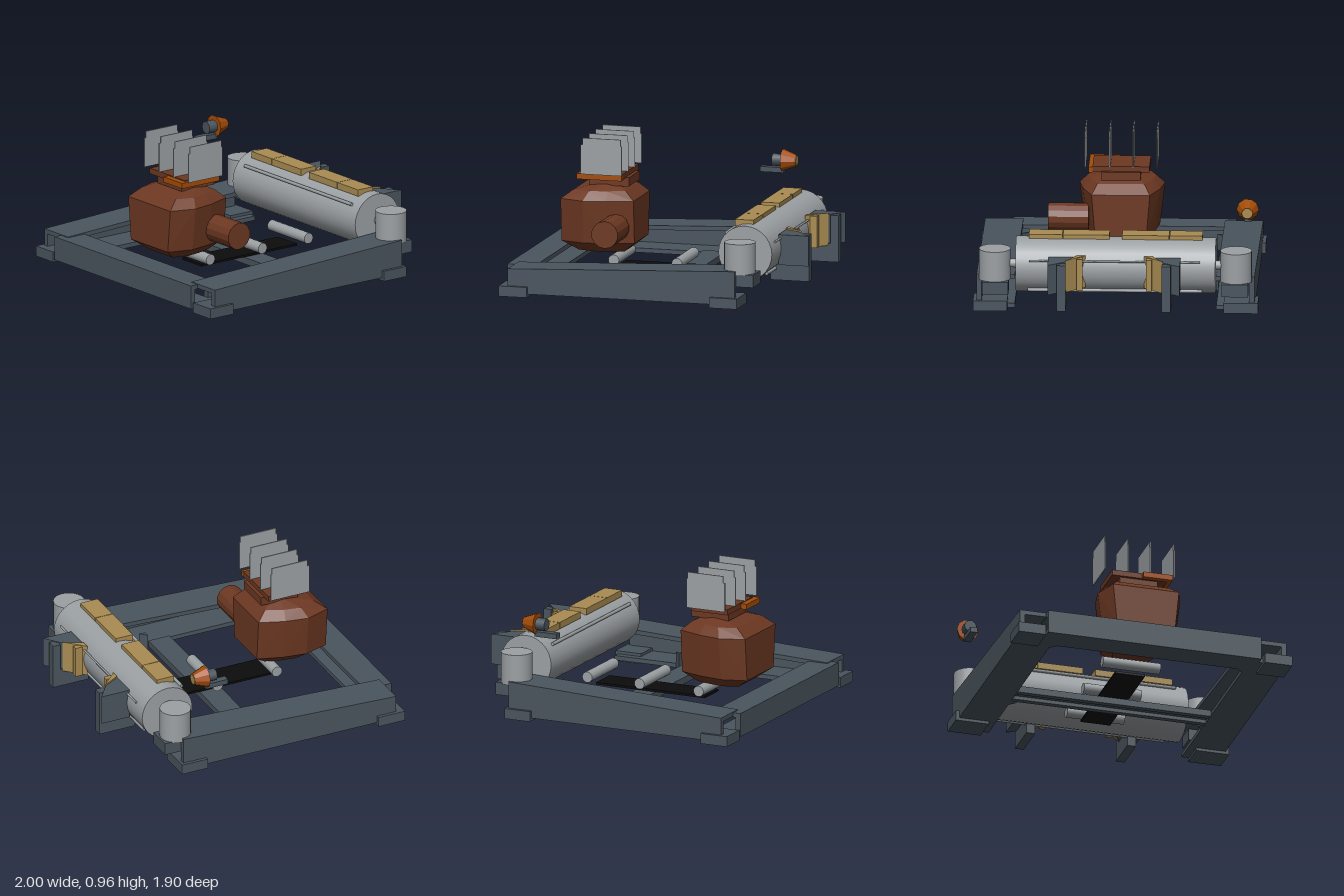
import * as THREE from 'three';
import { ConvexGeometry } from 'three/addons/geometries/ConvexGeometry.js';

const mat = (name, color, flatShading = false) => {
  const m = new THREE.MeshStandardMaterial({ color, flatShading });
  m.name = name;
  return m;
};

export function createModel() {
  const root = new THREE.Group();
  root.name = 'machine';
  const steel = mat('dark steel', 0x4a555e);
  const grey = mat('light grey', 0x9ca1a4);
  const brown = mat('rust brown', 0x6d3822, true);
  const orange = mat('orange', 0xa34c08, true);
  const tan = mat('tan', 0xa98c52);
  const black = mat('black', 0x0c0c0c);

  const add = (name, geo, material) => {
    const mesh = new THREE.Mesh(geo, material);
    mesh.name = name;
    root.add(mesh);
    return mesh;
  };
  // box from its limits on each axis
  const box = (name, m, x0, x1, y0, y1, z0, z1) => {
    const g = new THREE.BoxGeometry(x1 - x0, y1 - y0, Math.abs(z1 - z0));
    g.translate((x0 + x1) / 2, (y0 + y1) / 2, (z0 + z1) / 2);
    return add(name, g, m);
  };
  // cylinder lying along x or z, or standing along y
  const cyl = (name, m, axis, x, y, z, r0, r1, len, sides = 24) => {
    const g = new THREE.CylinderGeometry(r1, r0, len, sides);
    if (axis === 'z') g.rotateX(Math.PI / 2);
    if (axis === 'x') g.rotateZ(-Math.PI / 2);
    return add(name, g.translate(x, y, z), m);
  };
  // side profile in x/y pushed along z
  const sideProfile = (name, m, pts, z0, z1) => {
    const shape = new THREE.Shape(pts.map(p => new THREE.Vector2(...p)));
    const g = new THREE.ExtrudeGeometry(shape, { depth: Math.abs(z1 - z0), bevelEnabled: false });
    return add(name, g.translate(0, 0, Math.min(z0, z1)), m);
  };
  // plan outline in x/z pushed up along y
  const planProfile = (name, m, pts, y0, y1) => {
    const shape = new THREE.Shape(pts.map(p => new THREE.Vector2(p[0], -p[1])));
    const g = new THREE.ExtrudeGeometry(shape, { depth: y1 - y0, bevelEnabled: false });
    return add(name, g.rotateX(-Math.PI / 2).translate(0, y0, 0), m);
  };

  // parts mirrored across the two long sides
  for (const s of [1, -1]) {
    // tapered channel rail, open inward
    sideProfile('railWeb', steel, [[-0.945, 0.02], [0.63, 0.02], [0.63, 0.25], [-0.945, 0.185]], s * 0.89, s * 0.925);
    sideProfile('railTopFlange', steel, [[-0.945, 0.155], [0.63, 0.22], [0.63, 0.25], [-0.945, 0.185]], s * 0.67, s * 0.89);
    box('railBottomFlange', steel, -0.945, 0.63, 0.02, 0.05, s * 0.67, s * 0.89);
    // feet
    box('rearFoot', steel, -1, -0.805, 0, 0.07, s * 0.76, s * 0.948);
    box('frontFoot', steel, 0.46, 0.65, 0, 0.07, s * 0.72, s * 0.948);
    // corner gussets
    for (const x of [-0.805, 0.13])
      planProfile('gusset', steel, [[x, s * 0.67], [x + 0.045, s * 0.67], [x, s * 0.625]], 0.02, 0.13);

    // drum end mounts
    cyl('axleStub', grey, 'z', 0.63, 0.33, s * 0.69, 0.03, 0.03, 0.08, 16);
    cyl('endPost', grey, 'y', 0.63, 0.325, s * 0.803, 0.105, 0.105, 0.21);
    box('postBracket', steel, 0.6, 0.745, 0.14, 0.225, s * 0.71, s * 0.885);

    // front guide wedges with brackets
    planProfile('guideWedge', steel, [[0.79, s * 0.44], [1, s * 0.44], [0.91, s * 0.32], [0.79, s * 0.25]], 0.215, 0.42);
    planProfile('guidePad', tan, [[0.79, s * 0.25], [0.915, s * 0.322], [0.79, s * 0.195]], 0.21, 0.43);
    box('padStrip', tan, 0.82, 0.87, 0.21, 0.425, s * 0.212, s * 0.25);
    box('bracketArm', steel, 0.72, 0.985, 0.1, 0.225, s * 0.32, s * 0.38);
    box('bracketUpright', steel, 0.93, 0.985, 0.1, 0.415, s * 0.32, s * 0.38);
    // drum rods
    cyl('sideRod', grey, 'z', 0.805, 0.395, 0, 0.007, 0.007, 1.14, 8).visible = s > 0;
  }

  // rear channel beam, open inward
  box('rearBeamWeb', steel, -1, -0.965, 0.02, 0.18, -0.745, 0.735);
  box('rearBeamTop', steel, -0.965, -0.805, 0.15, 0.18, -0.745, 0.735);
  box('rearBeamBottom', steel, -0.965, -0.805, 0.02, 0.05, -0.745, 0.735);

  // low middle beam, open below
  box('middleBeam', steel, -0.05, 0.105, 0.04, 0.06, -0.67, 0.67);
  box('middleBeamLip', steel, -0.05, -0.01, 0.015, 0.04, -0.67, 0.67);
  box('middleBeamLip', steel, 0.065, 0.105, 0.015, 0.04, -0.67, 0.67);

  // belt and rollers
  box('belt', black, -0.42, 0.385, 0.065, 0.08, -0.105, 0.1);
  for (const x of [-0.42, 0.018, 0.405]) cyl('roller', grey, 'z', x, 0.135, 0, 0.037, 0.037, 0.4, 16);

  // drum with rods and deck
  cyl('drum', grey, 'z', 0.625, 0.325, -0.005, 0.185, 0.185, 1.33, 28);
  for (const [x, y] of [[0.475, 0.445], [0.75, 0.18]])
    cyl('drumRod', grey, 'z', x, y, 0, 0.012, 0.012, 1.16, 8);
  for (const [a, b] of [[-0.58, -0.362], [-0.358, -0.045], [0.04, 0.348], [0.352, 0.575]])
    box('deckPlank', tan, 0.53, 0.657, 0.49, 0.535, a, b);

  // chamfered motor housing, stacked octagonal rings: y, x0, x1, half depth
  const rings = [[0.18, -0.68, -0.37, 0.16], [0.25, -0.78, -0.285, 0.25], [0.54, -0.78, -0.285, 0.285],
    [0.6, -0.7, -0.35, 0.23], [0.645, -0.5, -0.44, 0.1]];
  const points = [];
  for (const [y, x0, x1, d] of rings) {
    const w = x1 - x0;
    for (const s of [1, -1])
      for (const [u, v] of [[0, 0.8], [0.34, 1], [0.66, 0.9], [1, 0.68]])
        points.push(new THREE.Vector3(x0 + w * u, y, s * d * v));
  }
  add('motorHousing', new ConvexGeometry(points), brown);
  cyl('motorPipe', brown, 'z', -0.4, 0.36, 0.35, 0.092, 0.092, 0.27, 14);

  // cooler base plates and fins
  box('coolerNeck', brown, -0.61, -0.335, 0.625, 0.685, -0.13, 0.13);
  box('coolerPlate', brown, -0.63, -0.36, 0.68, 0.718, -0.19, 0.19);
  box('coolerTrimSide', orange, -0.672, -0.63, 0.675, 0.712, 0.015, 0.217);
  box('coolerTrimFront', orange, -0.63, -0.36, 0.675, 0.712, 0.19, 0.217);
  for (const z of [-0.24, -0.08, 0.075, 0.238]) {
    box('coolerFin', grey, -0.637, -0.353, 0.715, 0.915, z - 0.004, z + 0.004);
    box('coolerFinTop', grey, -0.625, -0.36, 0.915, 0.96, z - 0.004, z + 0.004);
  }

  // nozzle
  box('nozzleArm', steel, 0.287, 0.45, 0.577, 0.612, -0.9, -0.85);
  cyl('nozzleBody', steel, 'x', 0.41, 0.66, -0.873, 0.042, 0.042, 0.075, 10);
  cyl('nozzleCone', orange, 'x', 0.487, 0.66, -0.873, 0.075, 0.038, 0.095, 10);
  cyl('nozzleTip', tan, 'x', 0.535, 0.66, -0.873, 0.034, 0.034, 0.006, 10);

  return root;
}
